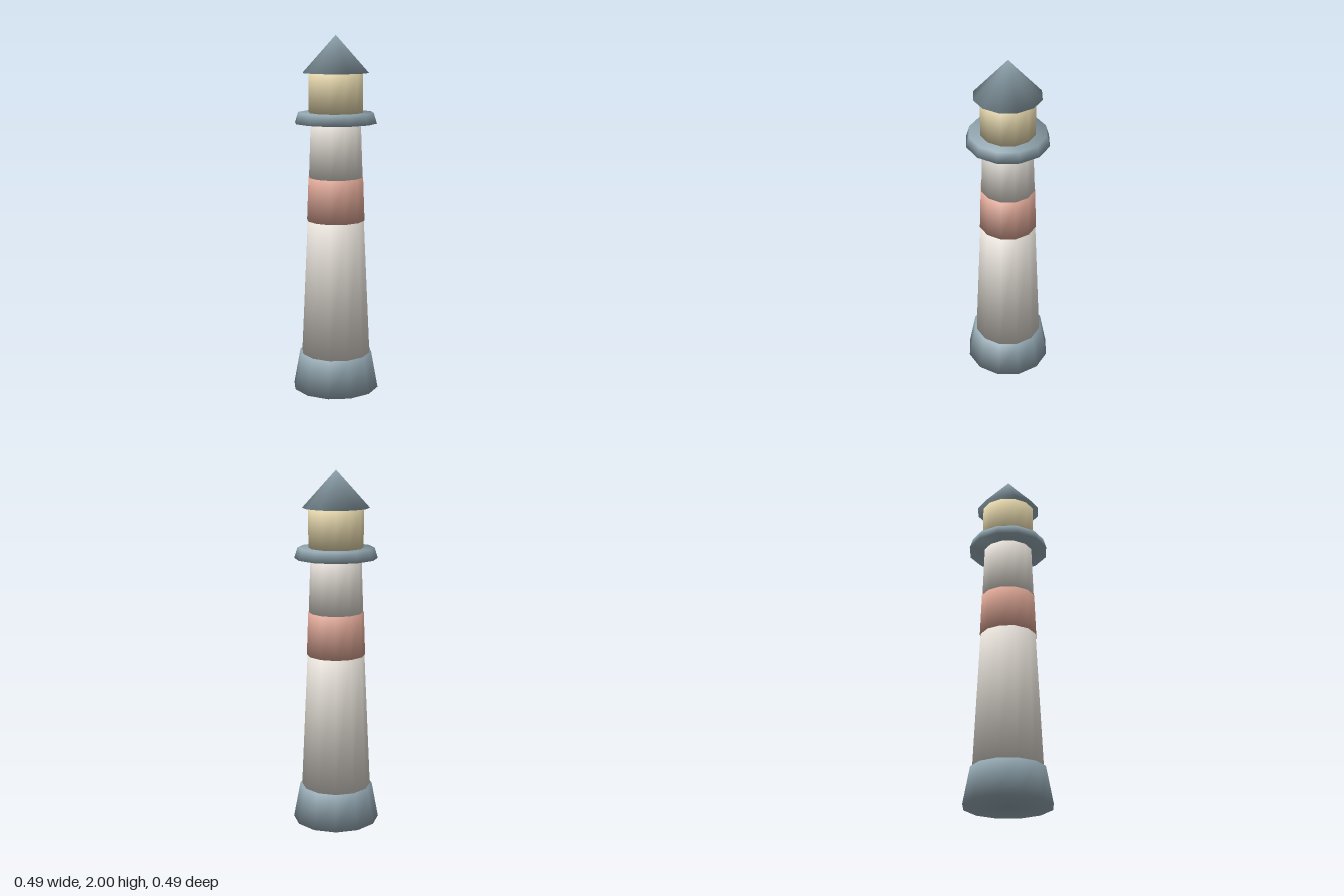
import * as THREE from 'three';

const mat = (name, color) => {
  const m = new THREE.MeshStandardMaterial({ color });
  m.name = name;
  return m;
};

// Twelve-sided drum from y0 to y1, with normals blended softly over its rims
function drum(name, material, r0, r1, y0, y1) {
  const h = y1 - y0;
  const geo = new THREE.CylinderGeometry(r1, r0, h, 12);
  const pos = geo.attributes.position;
  const side = Math.hypot(h, r0 - r1);
  const n = new THREE.Vector3();
  for (let i = 0; i < pos.count; i++) {
    const x = pos.getX(i), z = pos.getZ(i), r = Math.hypot(x, z);
    const cap = Math.sign(pos.getY(i));
    if (r < 1e-6) n.set(0, cap, 0);
    else n.set(x / r * h / side, (r0 - r1) / side + cap, z / r * h / side).normalize();
    geo.attributes.normal.setXYZ(i, n.x, n.y, n.z);
  }
  const mesh = new THREE.Mesh(geo, material);
  mesh.name = name;
  mesh.position.y = (y0 + y1) / 2;
  return mesh;
}

export function createModel() {
  const slate = mat('slate blue', 0x90a4ae);
  const white = mat('warm white', 0xe0dbd3);
  const salmon = mat('salmon red', 0xd9a393);
  const cream = mat('lamp cream', 0xe0d2a8);

  const group = new THREE.Group();
  group.name = 'lighthouse';
  group.add(
    // foundation and tapering tower
    drum('foundation', slate, 0.245, 0.207, 0, 0.205),
    drum('lowerTower', white, 0.196, 0.16, 0.205, 0.975),
    drum('towerBand', salmon, 0.164, 0.155, 0.975, 1.218),
    drum('upperTower', white, 0.152, 0.141, 1.218, 1.52),
    // gallery, lamp room and roof
    drum('gallery', slate, 0.23, 0.212, 1.52, 1.578),
    drum('lampRoom', cream, 0.152, 0.152, 1.578, 1.795),
    drum('roof', slate, 0.185, 0, 1.795, 2)
  );
  return group;
}
